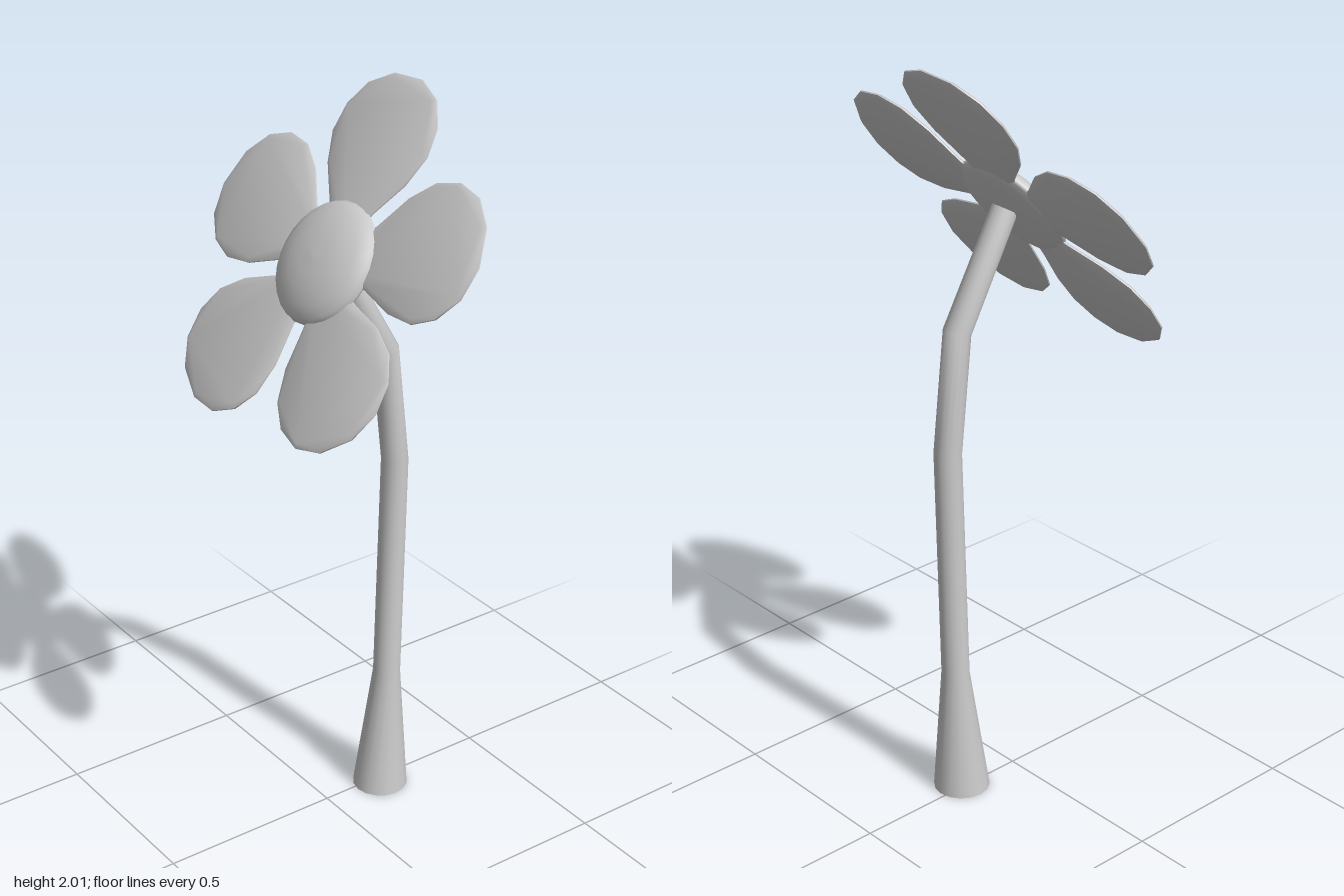
import * as THREE from 'three';
import { toCreasedNormals } from 'three/addons/utils/BufferGeometryUtils.js';

const grey = new THREE.MeshStandardMaterial({ color: 0xcccccc });
const greyDouble = new THREE.MeshStandardMaterial({ color: 0xcccccc, side: THREE.DoubleSide });

function part(name, geometry, material = grey) {
  const mesh = new THREE.Mesh(geometry, material);
  mesh.name = name;
  return mesh;
}

// Open tube through rings of [y, z, radius, forward tilt]
function stemGeometry() {
  const rings = [
    [0, -0.17, 0.075, 0],
    [0.36, -0.188, 0.037, 0],
    [1.0, -0.205, 0.036, 0.04],
    [1.32, -0.17, 0.036, 0.32],
    [1.602, -0.012, 0.034, 0.55],
  ];
  const sides = 16, positions = [], index = [];
  rings.forEach(([y, z, r, tilt], i) => {
    for (let j = 0; j < sides; j++) {
      const a = (j / sides) * Math.PI * 2, c = Math.cos(a) * r;
      positions.push(Math.sin(a) * r, y - c * Math.sin(tilt), z + c * Math.cos(tilt));
      if (i === 0) continue;
      const k = (j + 1) % sides, lo = (i - 1) * sides, hi = i * sides;
      index.push(lo + j, lo + k, hi + k, lo + j, hi + k, hi + j);
    }
  });
  const g = new THREE.BufferGeometry();
  g.setAttribute('position', new THREE.Float32BufferAttribute(positions, 3));
  g.setIndex(index);
  g.computeVertexNormals();
  return g;
}

// Thin petal pointing along +y with a bevelled, faceted outline
function petalGeometry() {
  const half = [[0.035, 0.06], [0.083, 0.15], [0.145, 0.235], [0.176, 0.315],
    [0.168, 0.39], [0.125, 0.455], [0.05, 0.493]];
  const outline = [
    ...half.map(([x, y]) => new THREE.Vector2(x, y)),
    ...half.slice().reverse().map(([x, y]) => new THREE.Vector2(-x, y)),
  ];
  const g = new THREE.ExtrudeGeometry(new THREE.Shape(outline), {
    depth: 0.004, bevelEnabled: true, bevelThickness: 0.006,
    bevelSize: 0.012, bevelOffset: -0.012, bevelSegments: 1,
  });
  g.translate(0, 0, -0.002);
  return toCreasedNormals(g, 0.7);
}

// Domed flower centre facing +z
function centreGeometry() {
  const profile = [[0, -0.02], [0.08, -0.018], [0.135, -0.012], [0.157, -0.004], [0.162, 0.004],
    [0.152, 0.018], [0.125, 0.034], [0.085, 0.046], [0.045, 0.052], [0, 0.054]];
  const g = new THREE.LatheGeometry(profile.map(([x, y]) => new THREE.Vector2(x, y)), 28);
  return g.rotateX(Math.PI / 2);
}

export function createModel() {
  const model = new THREE.Group();
  model.name = 'flower';

  const stem = part('stem', stemGeometry(), greyDouble);
  stem.position.x = 0.015;
  model.add(stem);

  // Flower head tilted upward
  const head = new THREE.Group();
  head.name = 'flowerHead';
  head.position.set(0.015, 1.602, 0.012);
  head.rotation.x = -0.614;
  head.add(part('flowerCentre', centreGeometry()));

  const petal = petalGeometry();
  for (let i = 0; i < 5; i++) {
    const mesh = part(`petal${i + 1}`, petal);
    mesh.rotation.z = THREE.MathUtils.degToRad(6 + i * 72);
    head.add(mesh);
  }
  model.add(head);
  return model;
}
